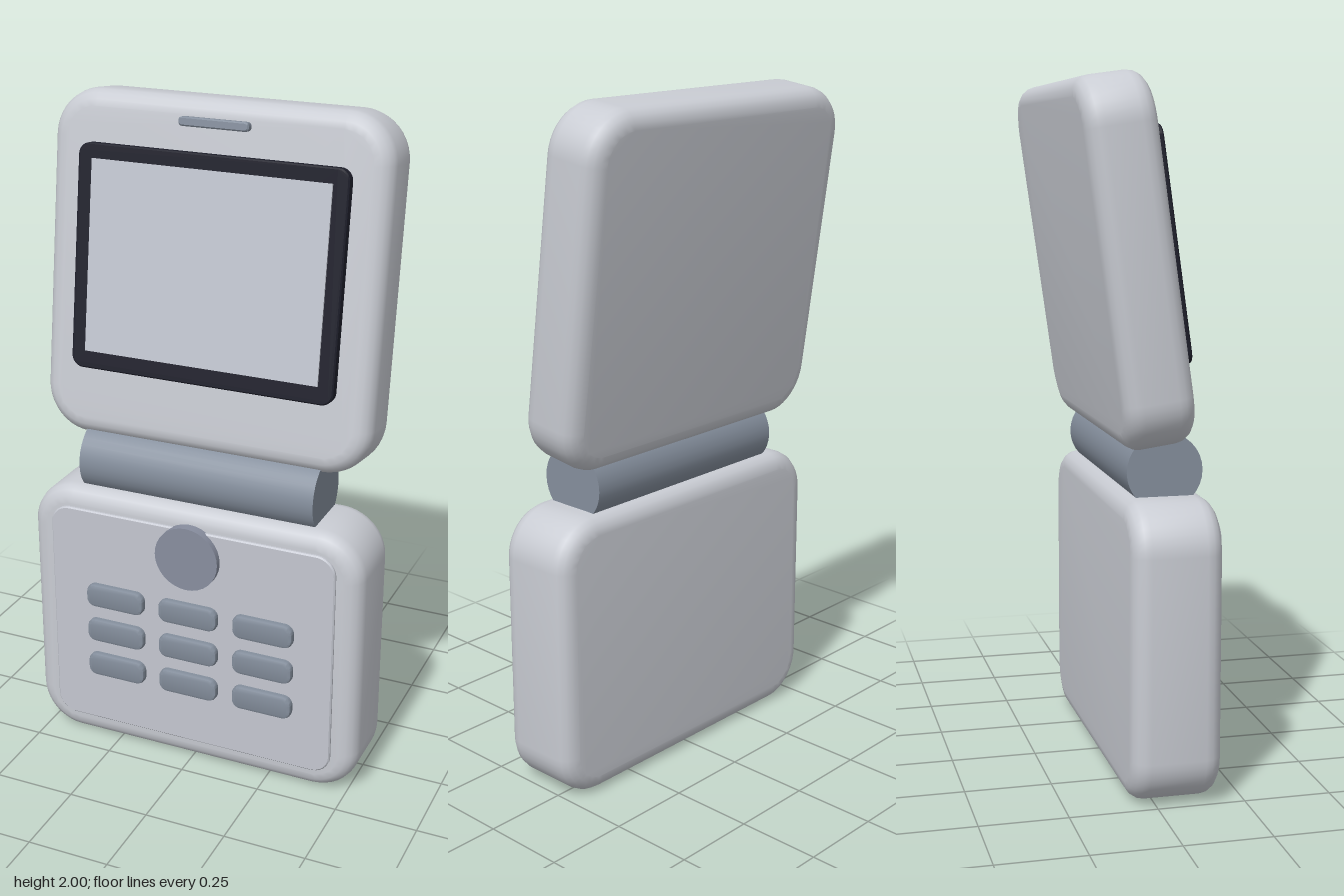
import * as THREE from 'three';
import { toCreasedNormals } from 'three/addons/utils/BufferGeometryUtils.js';

const paint = (name, color) => {
  const m = new THREE.MeshStandardMaterial({ color });
  m.name = name;
  return m;
};

// Rounded slab centred on the origin, facing +z, with a soft bevel on both faces
function slab(w, h, d, r, bevel, segments = 4) {
  const x = w / 2 - bevel, y = h / 2 - bevel, c = r - bevel;
  const s = new THREE.Shape();
  s.moveTo(-x + c, -y);
  s.lineTo(x - c, -y);
  s.absarc(x - c, -y + c, c, -Math.PI / 2, 0);
  s.lineTo(x, y - c);
  s.absarc(x - c, y - c, c, 0, Math.PI / 2);
  s.lineTo(-x + c, y);
  s.absarc(-x + c, y - c, c, Math.PI / 2, Math.PI);
  s.lineTo(-x, -y + c);
  s.absarc(-x + c, -y + c, c, Math.PI, Math.PI * 1.5);
  const geo = new THREE.ExtrudeGeometry(s, {
    depth: d - 2 * bevel, curveSegments: 5,
    bevelEnabled: true, bevelSize: bevel, bevelThickness: bevel, bevelSegments: segments,
  });
  geo.translate(0, 0, -d / 2 + bevel);
  return toCreasedNormals(geo, 0.65);
}

export function createModel() {
  const model = new THREE.Group();
  model.name = 'flipPhone';
  const body = paint('silver body', 0xc9ccd3);
  const panel = paint('keypad silver', 0xc4c7d0);
  const metal = paint('grey metal', 0x858f9d);
  const dialGrey = paint('dial grey', 0x888e9f);
  const dark = paint('dark frame', 0x1e1f2b);
  const glass = paint('screen', 0xc4c8d2);

  const add = (parent, name, geo, mat, x, y, z) => {
    const mesh = new THREE.Mesh(geo, mat);
    mesh.name = name;
    mesh.position.set(x, y, z);
    parent.add(mesh);
    return mesh;
  };

  // Lower half with its keypad plate
  add(model, 'base', slab(1.06, 0.85, 0.255, 0.14, 0.05), body, 0, 0.425, 0.0525);
  add(model, 'keypadPlate', slab(0.91, 0.72, 0.03, 0.06, 0.004, 1), panel, 0, 0.43, 0.175);

  // Three rows of three keys
  const keyGeo = slab(0.19, 0.075, 0.04, 0.028, 0.01, 2);
  const keys = new THREE.Group();
  keys.name = 'keys';
  for (const y of [0.515, 0.395, 0.275]) {
    for (const x of [-0.24, 0, 0.24]) add(keys, 'key', keyGeo, metal, x, y, 0.19);
  }
  model.add(keys);

  // Round navigation button
  const dial = add(model, 'navigationButton', new THREE.CylinderGeometry(0.1, 0.1, 0.04, 32), dialGrey, 0, 0.705, 0.19);
  dial.rotation.x = Math.PI / 2;

  // Hinge barrel
  const hinge = add(model, 'hinge', new THREE.CylinderGeometry(0.108, 0.108, 0.74, 32), metal, 0, 0.92, 0.05);
  hinge.rotation.z = Math.PI / 2;

  // Upper half, leaning back
  const lid = new THREE.Group();
  lid.name = 'lid';
  lid.position.set(0, 1.4925, -0.047);
  lid.rotation.x = THREE.MathUtils.degToRad(-8);
  add(lid, 'lidShell', slab(1.02, 1.01, 0.198, 0.14, 0.05), body, 0, 0, 0);
  add(lid, 'screenFrame', slab(0.81, 0.65, 0.04, 0.035, 0.004, 1), dark, 0, 0.03, 0.108);
  add(lid, 'screen', new THREE.BoxGeometry(0.72, 0.555, 0.008), glass, 0, 0.035, 0.129);
  add(lid, 'earpiece', slab(0.21, 0.026, 0.04, 0.012, 0.004, 1), metal, 0, 0.437, 0.102);
  model.add(lid);

  return model;
}
